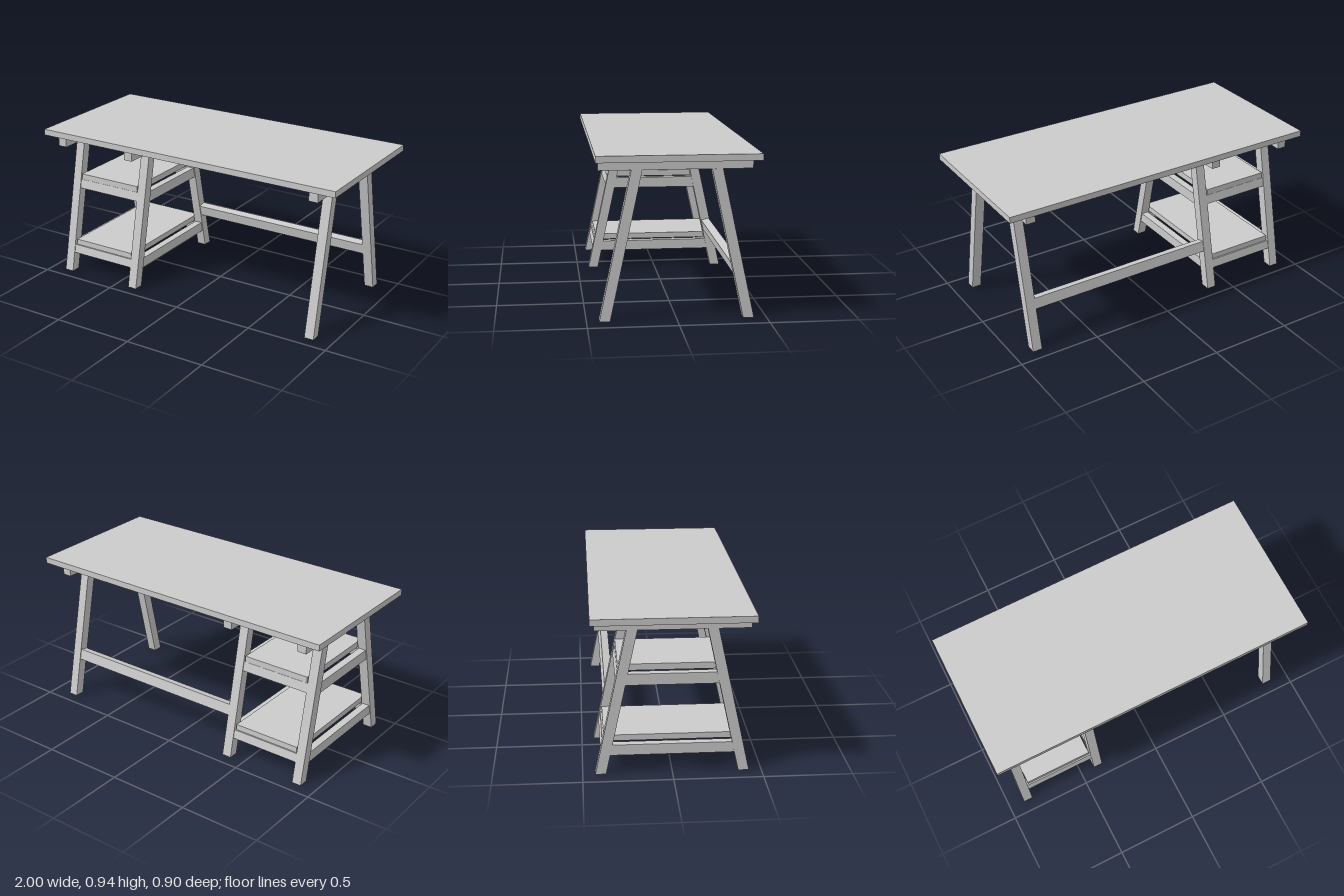
import * as THREE from 'three';

const LEG_TOP = 0.84, FOOT_Z = 0.40, HEAD_Z = 0.22, LEG_W = 0.058;
const SLOPE = (FOOT_Z - HEAD_Z) / LEG_TOP;
const TILT = Math.atan(SLOPE);

// Distance of a leg's centre line from the middle at height y
const legZ = (y) => FOOT_Z - SLOPE * y;

export function createModel() {
  const desk = new THREE.Group();
  desk.name = 'trestleDesk';
  const material = new THREE.MeshStandardMaterial({ color: 0xcccccc, flatShading: true });

  function add(parent, name, geometry, x, y, z) {
    const mesh = new THREE.Mesh(geometry, material);
    mesh.name = name;
    mesh.position.set(x, y, z);
    parent.add(mesh);
    return mesh;
  }
  const box = (parent, name, w, h, d, x, y, z) =>
    add(parent, name, new THREE.BoxGeometry(w, h, d), x, y, z);

  // Leg with level ends, sheared inwards towards the top
  function legGeometry(side) {
    const g = new THREE.BoxGeometry(LEG_W, LEG_TOP, 0.06);
    g.translate(0, LEG_TOP / 2, 0);
    const p = g.attributes.position;
    for (let i = 0; i < p.count; i++) p.setZ(i, p.getZ(i) + side * legZ(p.getY(i)));
    g.computeVertexNormals();
    return g;
  }

  // Crosswise rail tilted to follow the legs
  function tiltedRail(parent, name, x0, x1, y, h, side) {
    const rail = box(parent, name, x1 - x0, h, 0.05, (x0 + x1) / 2, y, side * legZ(y));
    rail.rotation.x = -side * TILT;
  }

  // Table top
  box(desk, 'tableTop', 2, 0.037, 0.896, 0, 0.9165, 0);

  // Three trestles: a header beam on two splayed legs
  const trestles = [[-0.876, -0.423], [-0.381, -0.423], [0.859, -0.416]];
  for (const [x, backZ] of trestles) {
    const trestle = new THREE.Group();
    trestle.name = 'trestle';
    trestle.position.x = x;
    desk.add(trestle);
    box(trestle, 'headerBeam', 0.056, 0.058, 0.43 - backZ, 0, 0.869, (0.43 + backZ) / 2);
    add(trestle, 'frontLeg', legGeometry(1), 0, 0, 0);
    add(trestle, 'backLeg', legGeometry(-1), 0, 0, 0);
  }

  // Two shelves: frame of rails with a panel on top
  const shelves = [
    { name: 'lowerShelf', bottom: 0.11, top: 0.172, panelTop: 0.207, depth: 0.76 },
    { name: 'upperShelf', bottom: 0.523, top: 0.588, panelTop: 0.625, depth: 0.596 },
  ];
  for (const s of shelves) {
    const shelf = new THREE.Group();
    shelf.name = s.name;
    desk.add(shelf);
    const y = (s.bottom + s.top) / 2, h = s.top - s.bottom;
    for (const x of [-0.876, -0.381]) box(shelf, 'sideRail', 0.046, h, 2 * legZ(y), x, y, 0);
    tiltedRail(shelf, 'frontRail', -0.85, -0.407, y, h - 0.009, 1);
    tiltedRail(shelf, 'backRail', -0.85, -0.407, y, h - 0.009, -1);
    const t = s.panelTop - s.top;
    box(shelf, 'shelfPanel', 0.422, t, s.depth, -0.6285, s.top + t / 2, 0);
  }

  // Long stretcher between the back legs
  tiltedRail(desk, 'backStretcher', -0.355, 0.832, 0.272, 0.066, -1);

  return desk;
}
